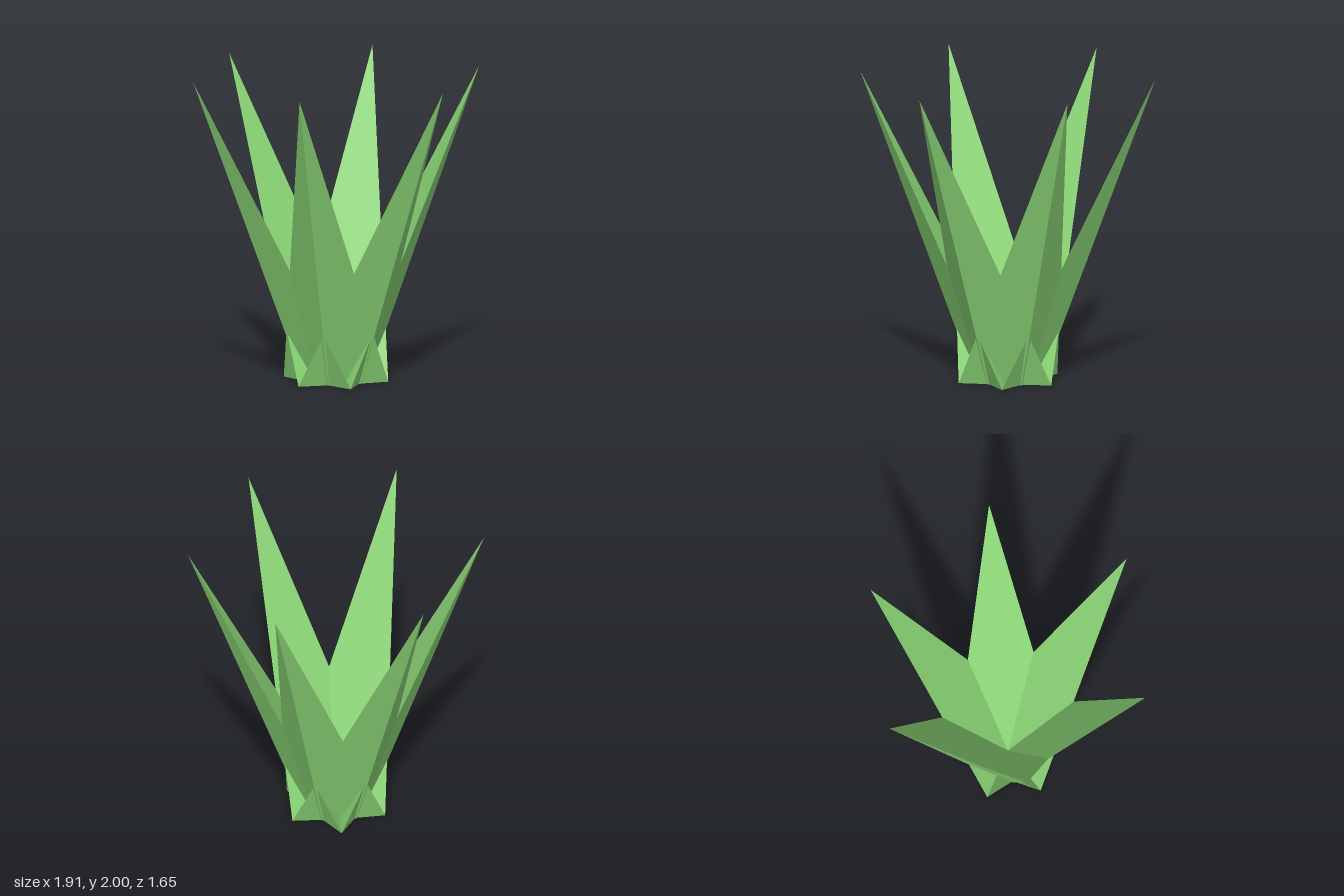
import * as THREE from 'three';

const LEAVES = 6;
const TIP_RADIUS = 0.955;  // how far each tip leans out
const HEIGHT = 2;
const HALF_WIDTH = 0.345;  // half the width of a leaf at the ground
const KEEL = 0.22;         // ridge distance from the centre at the ground

// One leaf: a hollow three-sided spike, flat inside and ridged outside
function leafGeometry() {
  const back = [0, 0, -HALF_WIDTH];
  const keel = [KEEL, 0, 0];
  const front = [0, 0, HALF_WIDTH];
  const tip = [TIP_RADIUS, HEIGHT, 0];
  const faces = [
    keel, back, tip,   // outer side
    front, keel, tip,  // outer side
    back, front, tip,  // inner face
  ];
  const geometry = new THREE.BufferGeometry();
  geometry.setAttribute('position', new THREE.Float32BufferAttribute(faces.flat(), 3));
  geometry.computeVertexNormals();
  return geometry;
}

export function createModel() {
  const plant = new THREE.Group();
  plant.name = 'spikyPlant';

  const leafGreen = new THREE.MeshStandardMaterial({ color: 0x8bd676, flatShading: true, side: THREE.DoubleSide });
  leafGreen.name = 'leaf green';

  // Ring of leaves crossing one another at the base
  const geometry = leafGeometry();
  for (let i = 0; i < LEAVES; i++) {
    const leaf = new THREE.Mesh(geometry, leafGreen);
    leaf.name = `leaf${i + 1}`;
    leaf.rotation.y = (i / LEAVES) * Math.PI * 2;
    plant.add(leaf);
  }
  return plant;
}
